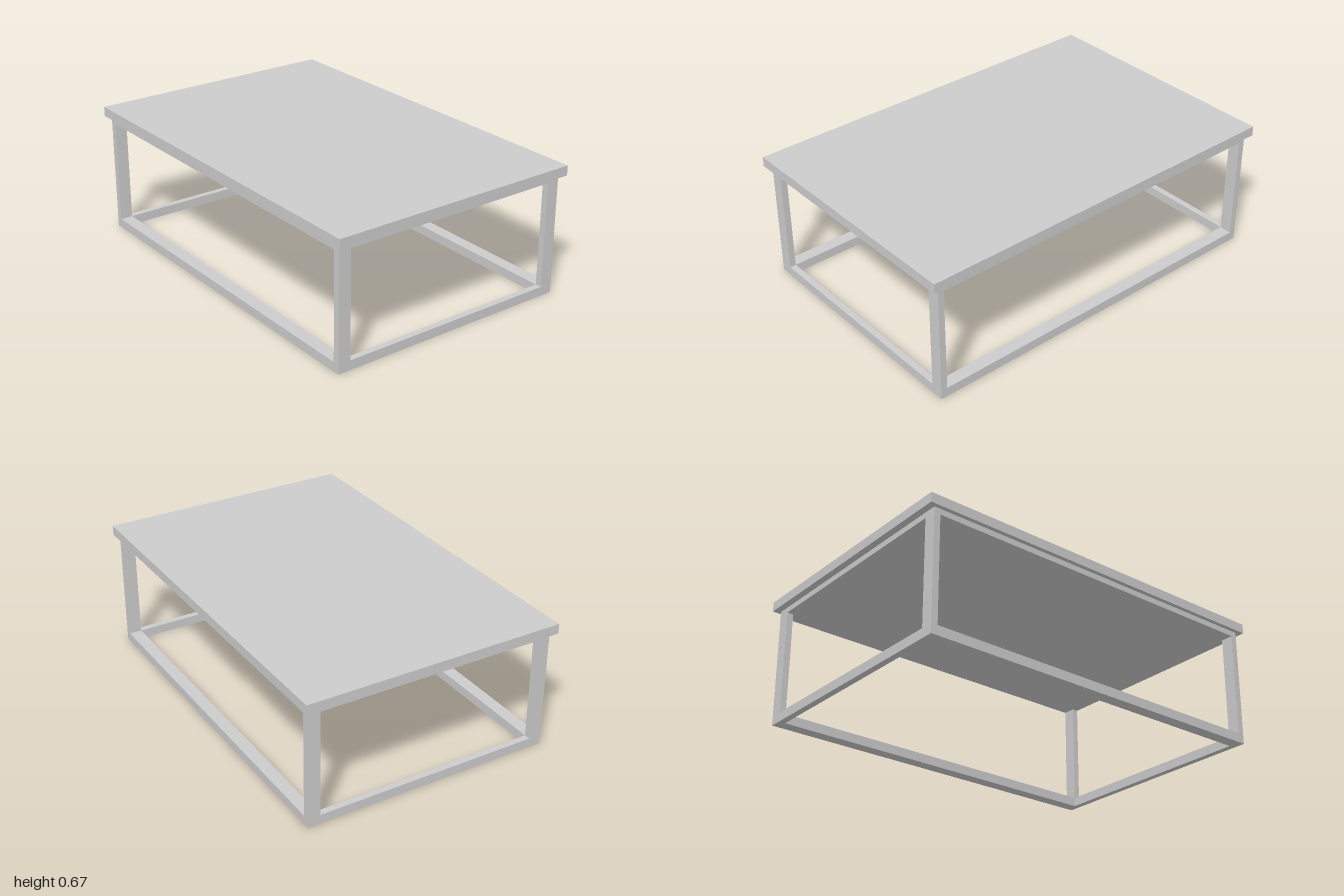
import * as THREE from 'three';

export function createModel() {
  const model = new THREE.Group();
  const material = new THREE.MeshStandardMaterial({ color: 0xcccccc, flatShading: true });

  // Box between two heights, centred on (x, z)
  function addBox(name, width, depth, bottom, top, x = 0, z = 0) {
    const mesh = new THREE.Mesh(new THREE.BoxGeometry(width, top - bottom, depth), material);
    mesh.name = name;
    mesh.position.set(x, (bottom + top) / 2, z);
    model.add(mesh);
  }

  const frameX = 0.644, frameZ = 0.966; // outer half sizes of the frame
  const barX = 0.065, barZ = 0.033; // bar widths along x and z
  const railTop = 0.048, panelBottom = 0.588, panelTop = 0.617, tableHeight = 0.667;
  const legX = frameX - barX / 2, legZ = frameZ - barZ / 2;

  // Overhanging top slab on a solid panel as large as the frame
  addBox('tabletop', 1.333, 2, panelTop, tableHeight);
  addBox('supportPanel', 2 * frameX, 2 * frameZ, panelBottom, panelTop);

  for (const s of [-1, 1]) {
    const side = s > 0 ? 'left' : 'right';
    const end = s > 0 ? 'front' : 'back';

    // Corner legs
    addBox(side + 'FrontLeg', barX, barZ, railTop, panelBottom, s * legX, legZ);
    addBox(side + 'BackLeg', barX, barZ, railTop, panelBottom, s * legX, -legZ);

    // Floor rails: the long ones run the full length, the short ones fit between
    addBox(side + 'FloorRail', barX, 2 * frameZ, 0, railTop, s * legX, 0);
    addBox(end + 'FloorRail', 2 * (frameX - barX), barZ, 0, railTop, 0, s * legZ);
  }
  return model;
}
